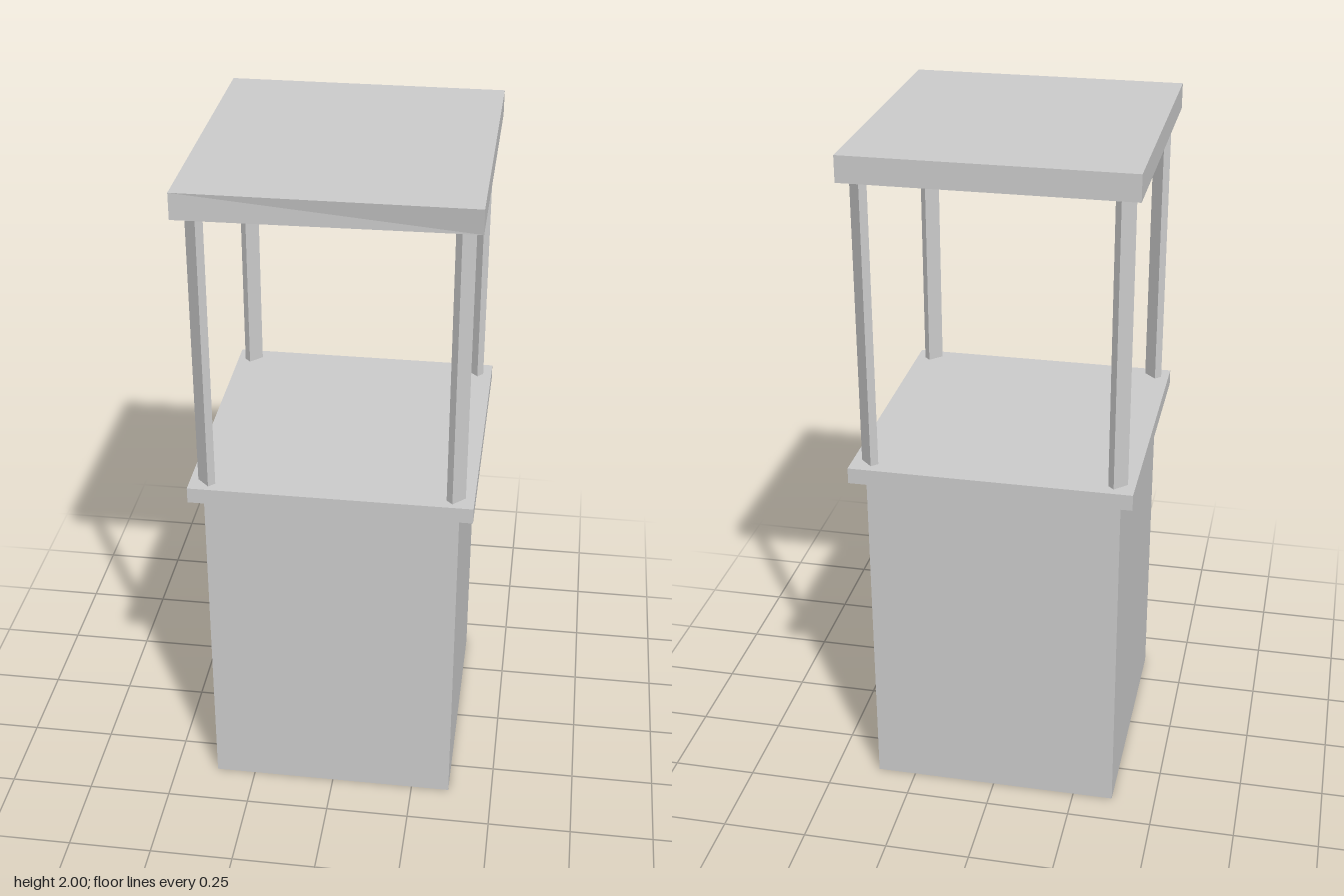
import * as THREE from 'three';

const material = new THREE.MeshStandardMaterial({ color: 0xcccccc, flatShading: true });

// Box given by its extents on each axis
function box(name, [x0, x1], [y0, y1], [z0, z1]) {
  const mesh = new THREE.Mesh(new THREE.BoxGeometry(x1 - x0, y1 - y0, z1 - z0), material);
  mesh.position.set((x0 + x1) / 2, (y0 + y1) / 2, (z0 + z1) / 2);
  mesh.name = name;
  return mesh;
}

function rectangle(PathType, x0, x1, z0, z1) {
  return new PathType([[x0, -z1], [x1, -z1], [x1, -z0], [x0, -z0]].map(([x, y]) => new THREE.Vector2(x, y)));
}

export function createModel() {
  const model = new THREE.Group();
  model.name = 'stand';

  // Solid base with an overhanging counter
  model.add(box('base', [-0.37, 0.366], [0, 1.036], [-0.402, 0.366]));
  model.add(box('counter', [-0.409, 0.407], [1.036, 1.083], [-0.444, 0.405]));

  // Flat posts turned to face the corners
  const postBottom = 1.083, postTop = 1.965;
  for (const x of [-0.36, 0.355]) {
    for (const z of [-0.392, 0.36]) {
      const post = new THREE.Mesh(new THREE.BoxGeometry(0.05, postTop - postBottom, 0.025), material);
      post.position.set(x, (postBottom + postTop) / 2, z);
      post.rotation.y = x * z > 0 ? Math.PI / 4 : -Math.PI / 4;
      post.name = (z > 0 ? 'front' : 'back') + (x > 0 ? 'Left' : 'Right') + 'Post';
      model.add(post);
    }
  }

  // Roof: a rim around a recessed ceiling panel
  const roof = new THREE.Group();
  roof.name = 'roof';
  const bottom = 1.925, rim = 0.03;
  const [x0, x1, z0, z1] = [-0.405, 0.403, -0.441, 0.443];
  const outline = rectangle(THREE.Shape, x0, x1, z0, z1);
  outline.holes.push(rectangle(THREE.Path, x0 + rim, x1 - rim, z0 + rim, z1 - rim));
  const frame = new THREE.ExtrudeGeometry(outline, { depth: 2 - bottom, bevelEnabled: false });
  frame.rotateX(-Math.PI / 2).translate(0, bottom, 0);

  // One lower front corner is set back slightly
  const p = frame.attributes.position;
  for (let i = 0; i < p.count; i++) {
    if (p.getY(i) < bottom + 0.01 && p.getZ(i) > z1 - 0.01 && p.getX(i) > 0) p.setZ(i, 0.429);
  }
  frame.computeVertexNormals();
  const frameMesh = new THREE.Mesh(frame, material);
  frameMesh.name = 'roofRim';
  roof.add(frameMesh);
  roof.add(box('ceilingPanel', [x0 + rim, x1 - rim], [postTop, 2], [z0 + rim, z1 - rim]));
  model.add(roof);

  return model;
}
